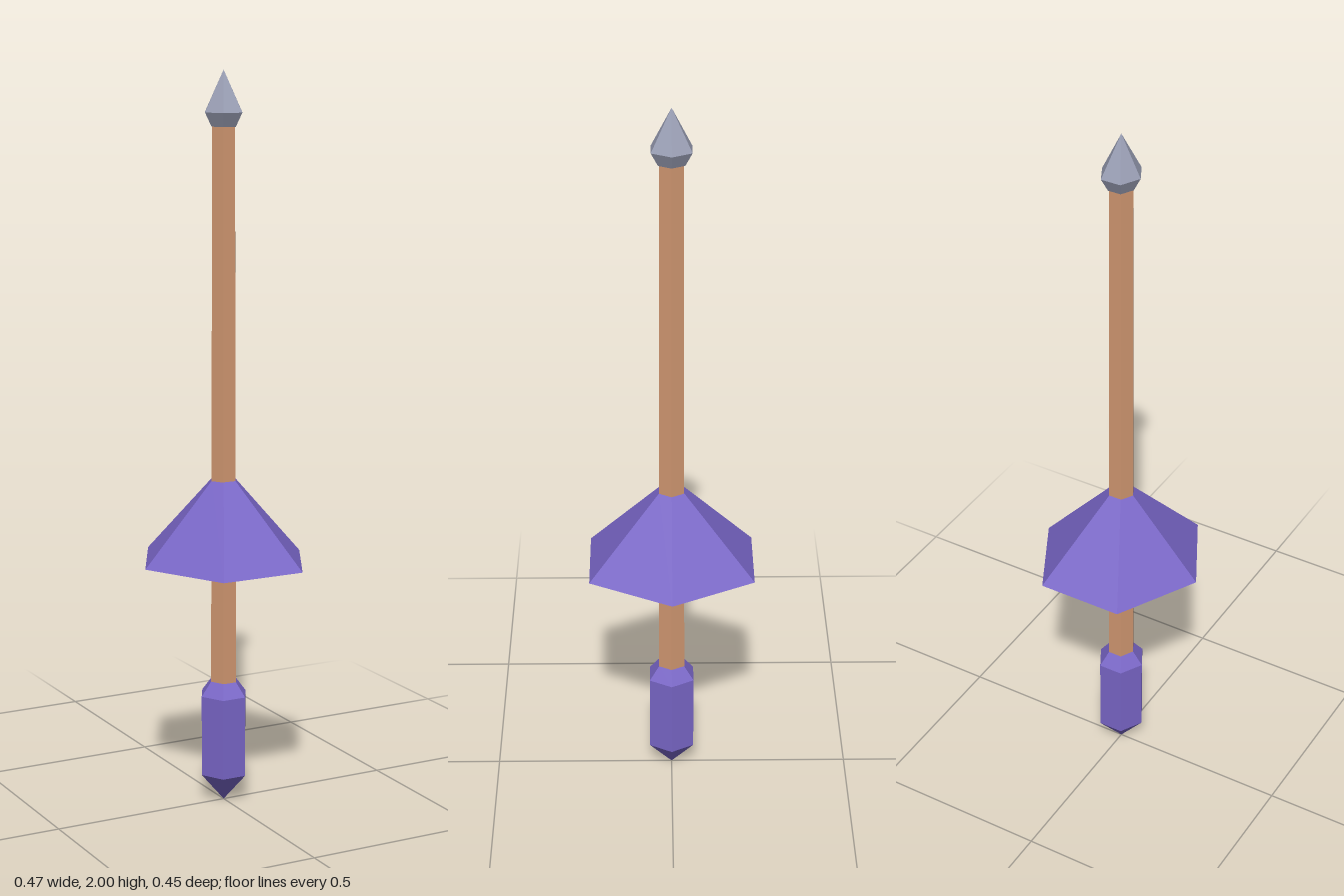
import * as THREE from 'three';

const flat = (name, color) => {
  const m = new THREE.MeshStandardMaterial({ color, flatShading: true });
  m.name = name;
  return m;
};

// Six-sided turned part with corners on the x axis; rings are [radiusX, y].
function hexPart(name, rings, depth, material) {
  const points = rings.map(([r, y]) => new THREE.Vector2(r, y));
  const geometry = new THREE.LatheGeometry(points, 6, Math.PI / 2);
  geometry.scale(1, 1, depth);
  const mesh = new THREE.Mesh(geometry, material);
  mesh.name = name;
  return mesh;
}

export function createModel() {
  const purple = flat('purple', 0x7865c6);
  const wood = flat('wood', 0xcf9670);
  const steel = flat('steel', 0x999eb4);
  const black = flat('black', 0x1f1f1f);

  const model = new THREE.Group();
  model.name = 'lance';

  // Pointed grip at the bottom
  model.add(hexPart('grip', [[0, 0], [0.068, 0.08], [0.068, 0.305], [0.038, 0.345]], 1.05, purple));

  // Slightly tapering shaft
  model.add(hexPart('shaft', [[0.039, 0.3], [0.034, 1.86]], 1.06, wood));

  // Flared hand guard with a dark underside
  const guardBase = 0.237, guardDepth = 1.096, guardY = 0.684;
  model.add(hexPart('guard', [[guardBase, guardY], [0.035, 0.908]], guardDepth, purple));
  const underside = new THREE.Mesh(
    new THREE.CircleGeometry(guardBase, 6).rotateX(Math.PI / 2).scale(1, 1, guardDepth), black);
  underside.name = 'guardUnderside';
  underside.position.y = guardY;
  model.add(underside);

  // Metal tip
  model.add(hexPart('tip', [[0, 1.853], [0.036, 1.853], [0.055, 1.89], [0, 2]], 1.1, steel));

  return model;
}
